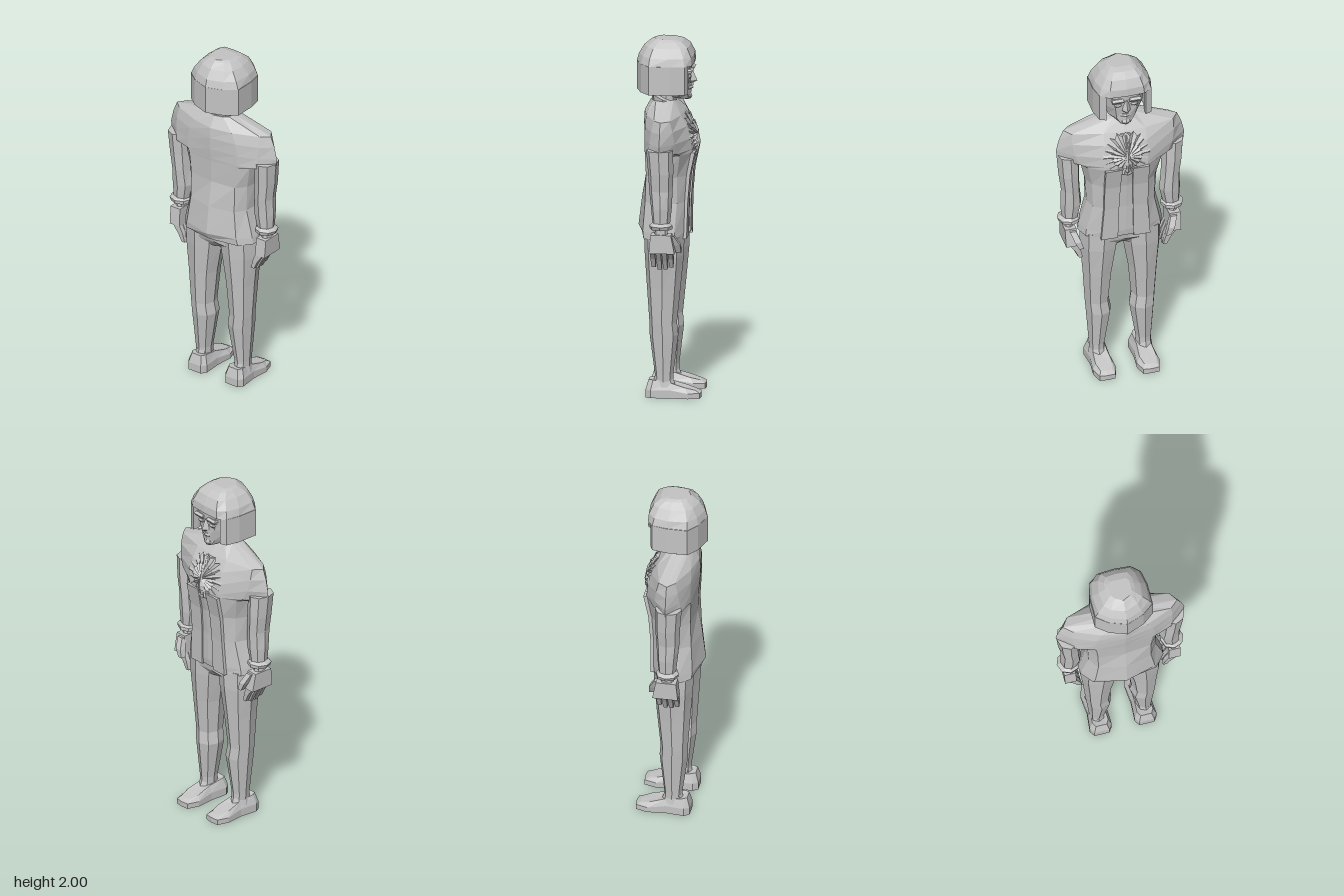
import * as THREE from 'three';

const grey = new THREE.MeshStandardMaterial({ color: 0xc4c4c4, flatShading: true, side: THREE.DoubleSide });
grey.name = 'pale grey';

// Skin stacked rings (bottom to top) of [x, y, z] points and cap both ends; s = -1 mirrors in x
function loft(rings, s = 1) {
  const n = rings[0].length, pos = [], idx = [];
  for (const r of rings) {
    const pts = s < 0 ? [...r].reverse() : r;
    for (const [x, y, z] of pts) pos.push(x * s, y, z);
  }
  for (let k = 0; k < rings.length - 1; k++) for (let i = 0; i < n; i++) {
    const a = k * n + i, b = k * n + (i + 1) % n;
    idx.push(a, a + n, b, b, a + n, b + n);
  }
  for (const k of [0, rings.length - 1]) {
    const c = pos.length / 3, m = [0, 1, 2].map(j => {
      let t = 0;
      for (let i = 0; i < n; i++) t += pos[(k * n + i) * 3 + j] / n;
      return t;
    });
    pos.push(...m);
    for (let i = 0; i < n; i++) {
      const a = k * n + i, b = k * n + (i + 1) % n;
      idx.push(c, k ? b : a, k ? a : b);
    }
  }
  const g = new THREE.BufferGeometry();
  g.setAttribute('position', new THREE.Float32BufferAttribute(pos, 3));
  g.setIndex(idx);
  g.computeVertexNormals();
  return g;
}

// Symmetric ring from a half outline, front centre to back centre
const sym = (y, ...h) => [...h, ...h.slice(1, -1).reverse().map(([x, z]) => [-x, z])].map(([x, z]) => [x, y, z]);

// Eight-sided ring filling a box in x and z
function oct(y, x0, x1, z0, z1) {
  const cx = (x0 + x1) / 2, cz = (z0 + z1) / 2, rx = (x1 - x0) / 2, rz = (z1 - z0) / 2;
  return [[0, -1], [.72, -.72], [1, 0], [.72, .72], [0, 1], [-.72, .72], [-1, 0], [-.72, -.72]]
    .map(([u, v]) => [cx + u * rx, y, cz + v * rz]);
}
const quad = (y, x0, x1, z0, z1) => [[x0, y, z0], [x1, y, z0], [x1, y, z1], [x0, y, z1]];

export function createModel() {
  const model = new THREE.Group();
  const add = (name, geo) => {
    const m = new THREE.Mesh(geo, grey);
    m.name = name;
    model.add(m);
  };

  // Jacket body with wide angular shoulders
  add('jacket', loft([
    sym(.90, [0, -.10], [.13, -.095], [.215, -.05], [.24, .02], [.235, .06], [.18, .125], [0, .155]),
    sym(.94, [0, -.105], [.13, -.098], [.21, -.05], [.235, .02], [.23, .06], [.17, .13], [0, .175]),
    sym(1.10, [0, -.108], [.12, -.10], [.175, -.06], [.195, 0], [.19, .06], [.15, .12], [0, .155]),
    sym(1.25, [0, -.12], [.12, -.11], [.18, -.06], [.205, 0], [.195, .06], [.15, .115], [0, .13]),
    sym(1.38, [0, -.15], [.12, -.135], [.21, -.08], [.235, 0], [.22, .07], [.16, .12], [0, .135]),
    sym(1.40, [0, -.15], [.12, -.135], [.25, -.07], [.36, .015], [.27, .09], [.17, .12], [0, .137]),
    sym(1.46, [0, -.142], [.12, -.13], [.28, -.06], [.366, .015], [.28, .08], [.17, .12], [0, .142]),
    sym(1.53, [0, -.115], [.12, -.11], [.29, -.05], [.35, .015], [.285, .07], [.16, .12], [0, .144]),
    sym(1.59, [0, -.08], [.12, -.075], [.29, -.035], [.325, .015], [.28, .055], [.13, .115], [0, .14]),
    sym(1.655, [0, -.03], [.05, -.025], [.08, 0], [.09, .03], [.08, .07], [.05, .09], [0, .105]),
  ]));

  // Trouser seat
  add('trouserSeat', loft([
    sym(.81, [0, -.03], [.05, -.05], [.1, 0], [.05, .08], [0, .06]),
    sym(.86, [0, -.08], [.13, -.085], [.22, .02], [.13, .12], [0, .11]),
    sym(.92, [0, -.09], [.14, -.085], [.225, .02], [.14, .12], [0, .13]),
  ]));

  for (const s of [1, -1]) {
    const side = s > 0 ? 'left' : 'right';
    const part = (name, rings) => add(side + name, loft(rings, s));

    part('Leg', [
      oct(.06, .09, .175, -.035, .065), oct(.13, .088, .178, -.035, .068), oct(.35, .052, .195, -.062, .098),
      oct(.42, .064, .2, -.055, .098), oct(.62, .045, .213, -.075, .112), oct(.8, .014, .23, -.092, .125),
      oct(.91, .002, .23, -.095, .13)]);

    // Shoe: broad sole and an upper sloping down to the toe
    const sole = [[.125, -.19], [.17, -.185], [.19, -.12], [.18, -.02], [.19, .085], [.17, .115],
      [.085, .115], [.065, .085], [.07, -.02], [.06, -.12], [.08, -.185]];
    part('Shoe', [
      sole.map(([x, z]) => [x, 0, z]),
      sole.map(([x, z]) => [x, z < -.1 ? .03 : .045, z]),
      sole.map(([x, z]) => [.127 + (x - .127) * .72, z < -.15 ? .045 : z < -.1 ? .06 : z < 0 ? .085 : .1, z * .86]),
    ]);
    part('Ankle', [oct(.06, .085, .182, -.05, .08), oct(.115, .095, .172, -.03, .068)]);

    // Sleeve and flared cuff
    part('Sleeve', [
      oct(1.0, .245, .335, -.035, .06), oct(1.1, .222, .342, -.045, .07), oct(1.2, .232, .338, -.05, .08),
      oct(1.3, .235, .352, -.055, .085), oct(1.43, .235, .362, -.055, .095)]);
    part('Cuff', [oct(.985, .232, .352, -.05, .075), oct(1.005, .23, .36, -.05, .078), oct(1.02, .25, .335, -.035, .06)]);

    // Hand with four curled fingers and a thumb
    part('Wrist', [oct(.94, .268, .324, -.025, .05), oct(.995, .27, .322, -.02, .045)]);
    part('Palm', [quad(.85, .262, .328, -.065, .078), quad(.955, .265, .33, -.045, .068)]);
    for (let i = 0; i < 4; i++) {
      const z = -.052 + i * .033, drop = i === 0 || i === 3 ? .012 : 0;
      part('Finger' + (i + 1), [
        quad(.745 + drop, .23, .25, z + .003, z + .024), quad(.795 + drop, .242, .275, z, z + .027),
        quad(.865, .268, .318, z, z + .028)]);
    }
    part('Thumb', [
      quad(.845, .235, .262, -.094, -.066), quad(.89, .248, .285, -.092, -.055), quad(.945, .27, .305, -.06, -.025)]);

    // Open jacket front standing slightly proud
    part('FrontPanel', [
      quad(.895, .045, .14, -.109, -.09), quad(1.1, .04, .125, -.114, -.095),
      quad(1.25, .035, .125, -.126, -.105), quad(1.38, .03, .125, -.153, -.13)]);

    // Brow and eye
    part('Brow', [quad(1.815, .018, .08, -.126, -.105), quad(1.83, .015, .085, -.135, -.105), quad(1.84, .02, .08, -.122, -.105)]);
    part('Eye', [oct(1.785, .028, .062, -.121, -.1), oct(1.795, .022, .068, -.126, -.1), oct(1.805, .028, .062, -.121, -.1)]);
  }

  // Neck and tilted collar
  add('neck', loft([oct(1.6, -.06, .06, -.035, .07), oct(1.75, -.055, .055, -.04, .065)]));
  const tilt = r => r.map(([x, y, z]) => [x, y + (z - .03) * .4, z]);
  add('collar', loft([tilt(oct(1.63, -.085, .085, -.04, .1)), tilt(oct(1.665, -.09, .09, -.045, .105)), tilt(oct(1.67, -.06, .06, -.03, .08))]));

  // Face
  add('face', loft([
    sym(1.665, [0, -.112], [.028, -.106], [.04, -.07], [.03, -.04], [0, -.03]),
    sym(1.70, [0, -.118], [.05, -.10], [.085, -.04], [.06, .05], [0, .06]),
    sym(1.77, [0, -.118], [.06, -.11], [.11, -.05], [.1, .05], [0, .07]),
    sym(1.88, [0, -.125], [.08, -.115], [.125, -.05], [.1, .05], [0, .07]),
  ]));
  add('nose', loft([
    sym(1.752, [0, -.135], [.018, -.12], [0, -.1]),
    sym(1.762, [0, -.152], [.024, -.118], [0, -.1]),
    sym(1.825, [0, -.124], [.01, -.115], [0, -.1])]));
  add('lips', loft([
    sym(1.712, [0, -.118], [.025, -.11], [0, -.09]),
    sym(1.722, [0, -.13], [.04, -.107], [0, -.09]),
    sym(1.735, [0, -.124], [.03, -.11], [0, -.09])]));
  add('chin', loft([oct(1.66, -.022, .022, -.115, -.07), oct(1.675, -.03, .03, -.124, -.07), oct(1.695, -.025, .025, -.116, -.07)]));

  // Hair: faceted dome above a straight bob open at the face
  add('hairCrown', loft([
    sym(1.865, [0, -.138], [.1, -.132], [.148, -.1], [.163, -.02], [.163, .1], [.1, .15], [0, .185]),
    sym(1.91, [0, -.135], [.095, -.128], [.135, -.09], [.152, -.01], [.145, .095], [.09, .14], [0, .172]),
    sym(1.96, [0, -.11], [.08, -.105], [.105, -.07], [.118, 0], [.11, .08], [.075, .115], [0, .142]),
    sym(1.99, [0, -.075], [.06, -.07], [.078, -.04], [.082, 0], [.075, .055], [.055, .08], [0, .105]),
    sym(2.0, [0, -.035], [.045, -.035], [.06, -.02], [.062, 0], [.06, .045], [.04, .07], [0, .09]),
  ]));
  const outer = [[.112, -.115], [.148, -.1], [.165, -.02], [.165, .1], [.1, .15], [0, .185]];
  const inner = [[0, .11], [.08, .1], [.12, .06], [.125, -.02], [.11, -.08]];
  const mirrored = a => [...a].reverse().map(([x, z]) => [-x, z]);
  const outline = [...outer, ...mirrored(outer.slice(0, -1)), ...mirrored(inner.slice(1)), ...inner];
  const bob = new THREE.ExtrudeGeometry(new THREE.Shape(outline.map(p => new THREE.Vector2(...p))), { depth: .16, bevelEnabled: false });
  add('hairBob', bob.rotateX(Math.PI / 2).translate(0, 1.868, 0));

  // Pleated neck ruffle: two zigzag fans laid over the chest
  for (const [k, r] of [.135, .085].entries()) {
    const fan = new THREE.RingGeometry(.012, r, 36, 2).rotateY(Math.PI);
    const p = fan.attributes.position;
    for (let i = 0; i < p.count; i++) {
      const x = p.getX(i), y = p.getY(i), t = Math.hypot(x, y) / r;
      const pleat = (i % 37 % 36) % 2 ? 1 : -1;
      p.setXYZ(i, x * (1 + .05 * pleat * t), y * (.92 + .07 * pleat * t),
        -.151 - k * .008 + .2 * Math.abs(x) + .32 * Math.max(y, 0) + pleat * .009 * t);
    }
    add('ruffle' + (k + 1), fan.translate(0, 1.465, 0));
  }
  add('ruffleTail', loft([
    sym(1.36, [0, -.157], [.012, -.15], [0, -.14]), sym(1.42, [0, -.17], [.032, -.15], [0, -.13]),
    sym(1.5, [0, -.155], [.018, -.135], [0, -.11]), sym(1.58, [0, -.11], [.03, -.09], [0, -.06])]));

  return model;
}
